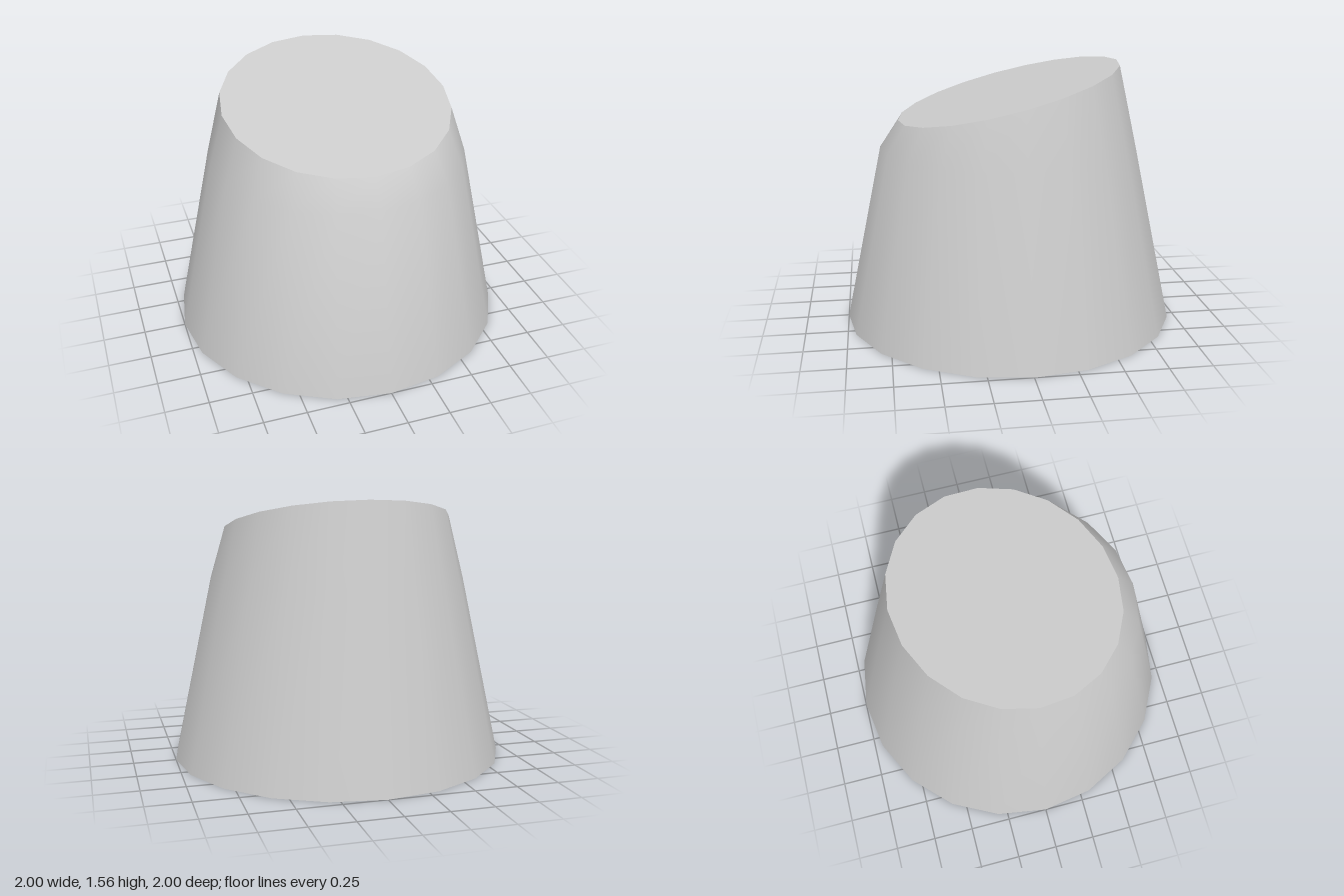
import * as THREE from 'three';
import { toCreasedNormals } from 'three/addons/utils/BufferGeometryUtils.js';

const SIDES = 20;

export function createModel() {
  const group = new THREE.Group();
  group.name = 'slantedFrustum';

  // Unit cylinder with three rings (y = -1, 0, 1), each reshaped by rule
  const geometry = new THREE.CylinderGeometry(1, 1, 2, SIDES, 2);
  const pos = geometry.attributes.position;
  for (let i = 0; i < pos.count; i++) {
    const x = pos.getX(i), ring = Math.round(pos.getY(i)), z = pos.getZ(i);
    if (ring < 0) pos.setXYZ(i, x, 0, z);                          // base
    else if (ring === 0) pos.setXYZ(i, x * 0.77, 1.07, z * 0.77);  // shoulder
    else pos.setXYZ(i, x * 0.68, 1.393 - z * 0.168, z * 0.66);     // sloping top
  }

  // Smooth wall, sharp rims around the two flat ends
  const body = new THREE.Mesh(
    toCreasedNormals(geometry, THREE.MathUtils.degToRad(35)),
    new THREE.MeshStandardMaterial({ color: 0xcccccc })
  );
  body.name = 'body';
  group.add(body);
  return group;
}
